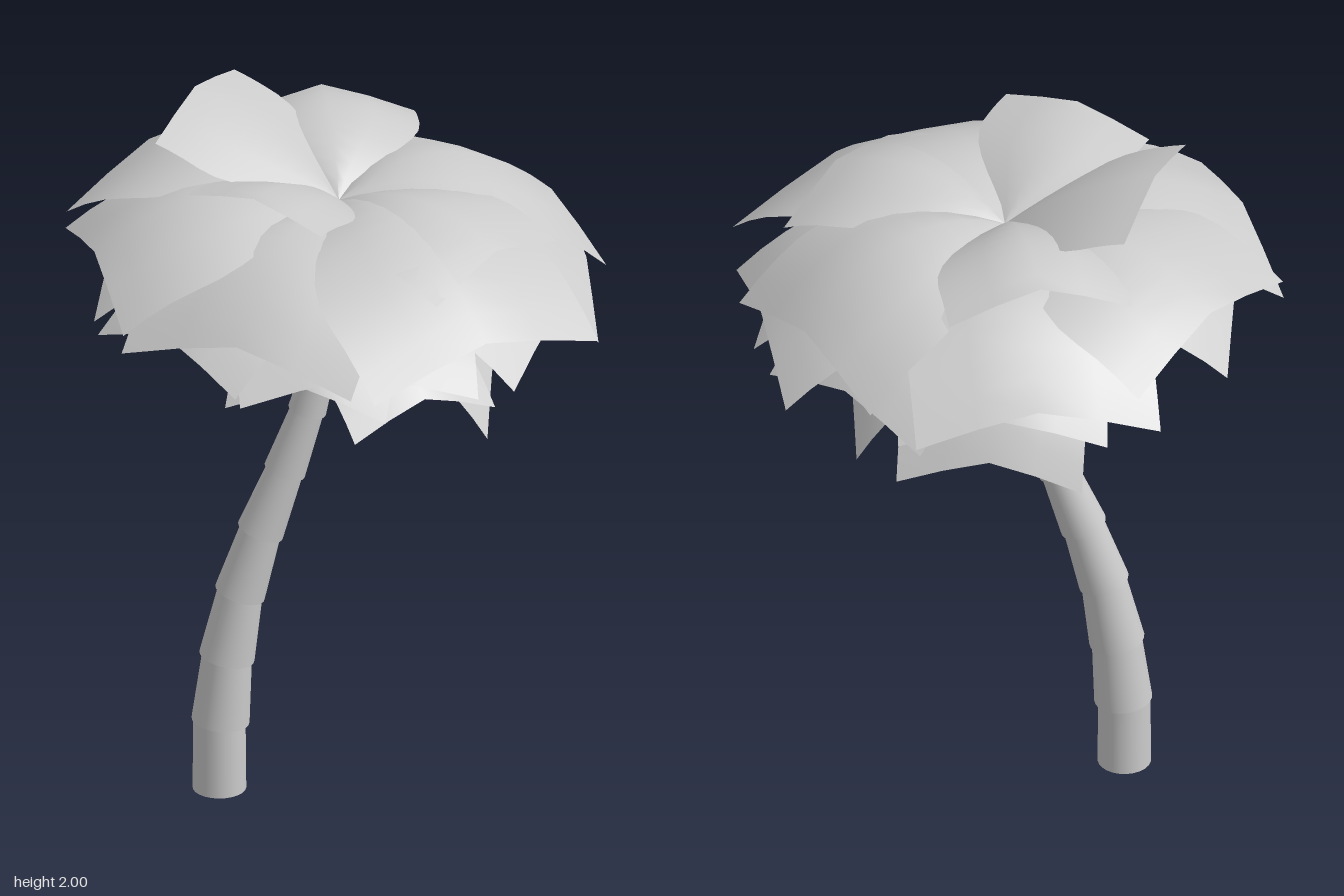
import * as THREE from 'three';

const grey = new THREE.MeshStandardMaterial({ color: 0xcccccc, side: THREE.DoubleSide });
const CZ = -0.05; // depth of the trunk and crown axis

// Roof-shaped fan leaf: ridge is a quadratic curve, sides widen and sag
function leafGeometry([tipX, tipZ, rootY, archY, tipY, half, sag]) {
  const root = new THREE.Vector3(0, rootY, CZ);
  const tip = new THREE.Vector3(tipX, tipY, tipZ);
  const mid = root.clone().lerp(tip, 0.5).setY(archY);
  const ridge = new THREE.QuadraticBezierCurve3(root, mid, tip);
  const side = new THREE.Vector3(-(tipZ - CZ), 0, tipX).normalize();
  const rows = 10, cols = 4, pos = [], index = [];
  for (let i = 0; i <= rows; i++) {
    const t = i / rows;
    const p = ridge.getPoint(t);
    const grow = Math.pow(Math.sin(Math.min(1, t / 0.7) * Math.PI / 2), 1.25);
    for (let j = 0; j <= cols; j++) {
      const s = j / cols * 2 - 1;
      pos.push(p.x + side.x * s * half * grow,
        p.y - sag * grow * Math.pow(Math.abs(s), 1.2),
        p.z + side.z * s * half * grow);
      if (i < rows && j < cols) {
        const a = i * (cols + 1) + j, b = a + cols + 1;
        index.push(a, a + 1, b, a + 1, b + 1, b);
      }
    }
  }
  const g = new THREE.BufferGeometry();
  g.setAttribute('position', new THREE.Float32BufferAttribute(pos, 3));
  g.setIndex(index);
  g.computeVertexNormals();
  return g;
}

// Each leaf: tip x, tip z, root height, arch height, tip height, half width, sag
const tiers = {
  upperLeaf: [
    [-0.39, -0.22, 1.75, 1.94, 2.0, 0.25, 0.06],
    [-0.06, -0.53, 1.75, 1.96, 1.86, 0.25, 0.09],
    [-0.22, 0.28, 1.75, 1.92, 1.91, 0.22, 0.05],
    [0.43, 0.27, 1.75, 1.91, 1.76, 0.26, 0.07],
  ],
  outerLeaf: [
    [-0.52, -0.47, 1.74, 1.96, 1.72, 0.34, 0.09],
    [-0.04, -0.72, 1.72, 1.97, 1.59, 0.33, 0.09],
    [0.56, -0.36, 1.75, 1.95, 1.64, 0.32, 0.09],
  ],
  middleLeaf: [
    [0.66, -0.13, 1.66, 1.87, 1.55, 0.34, 0.09],
    [0.41, 0.53, 1.75, 1.93, 1.61, 0.36, 0.09],
    [-0.26, 0.53, 1.71, 1.91, 1.59, 0.34, 0.09],
    [-0.65, 0.12, 1.72, 1.93, 1.67, 0.34, 0.09],
  ],
  innerLeaf: [
    [0.46, -0.46, 1.62, 1.84, 1.51, 0.28, 0.08],
    [0.58, 0.16, 1.62, 1.82, 1.51, 0.29, 0.09],
    [0.07, 0.56, 1.62, 1.82, 1.52, 0.32, 0.08],
    [-0.45, 0.39, 1.62, 1.82, 1.55, 0.27, 0.09],
    [-0.61, -0.14, 1.62, 1.84, 1.56, 0.28, 0.09],
    [0.05, -0.64, 1.62, 1.84, 1.51, 0.28, 0.08],
  ],
  underLeaf: [
    [-0.36, 0.12, 1.56, 1.68, 1.52, 0.22, 0.07],
    [-0.27, -0.36, 1.56, 1.68, 1.51, 0.22, 0.07],
    [0.3, -0.34, 1.56, 1.68, 1.46, 0.22, 0.07],
  ],
  lowerLeaf: [
    [-0.08, 0.35, 1.48, 1.58, 1.38, 0.22, 0.08],
    [0.24, 0.32, 1.48, 1.57, 1.34, 0.22, 0.08],
    [0.41, -0.04, 1.47, 1.59, 1.25, 0.25, 0.08],
    [0.07, -0.42, 1.47, 1.59, 1.23, 0.25, 0.08],
  ],
};

// Trunk joints: x, y, radius at the foot of each segment, radius at its top
const joints = [
  [-0.32, 0, 0.072, 0.07], [-0.317, 0.2, 0.078, 0.067], [-0.3, 0.39, 0.075, 0.061],
  [-0.265, 0.58, 0.069, 0.056], [-0.21, 0.765, 0.064, 0.05], [-0.145, 0.945, 0.057, 0.045],
  [-0.085, 1.125, 0.052, 0.042], [-0.04, 1.3, 0.048, 0.036], [0, 1.48, 0, 0],
];

export function createModel() {
  const palm = new THREE.Group();
  palm.name = 'palmTree';

  // Leaning trunk of flared, stacked segments, open at the foot
  const trunk = new THREE.Group();
  trunk.name = 'trunk';
  for (let i = 0; i < joints.length - 1; i++) {
    const [x, y, foot, top] = joints[i];
    const a = new THREE.Vector3(x, y, CZ);
    const dir = new THREE.Vector3(joints[i + 1][0], joints[i + 1][1], CZ).sub(a);
    const length = dir.length() + 0.008;
    dir.normalize();
    if (i === 0) dir.set(0, 1, 0);
    const segment = new THREE.Mesh(new THREE.CylinderGeometry(top, foot, length, 24, 1, true), grey);
    segment.name = 'trunkSegment' + (i + 1);
    segment.quaternion.setFromUnitVectors(new THREE.Vector3(0, 1, 0), dir);
    segment.position.copy(a).addScaledVector(dir, length / 2);
    trunk.add(segment);
  }
  palm.add(trunk);

  // Crown of overlapping leaf tiers
  const crown = new THREE.Group();
  crown.name = 'crown';
  for (const [name, leaves] of Object.entries(tiers)) {
    leaves.forEach((leaf, i) => {
      const mesh = new THREE.Mesh(leafGeometry(leaf), grey);
      mesh.name = name + (i + 1);
      crown.add(mesh);
    });
  }
  palm.add(crown);
  return palm;
}
